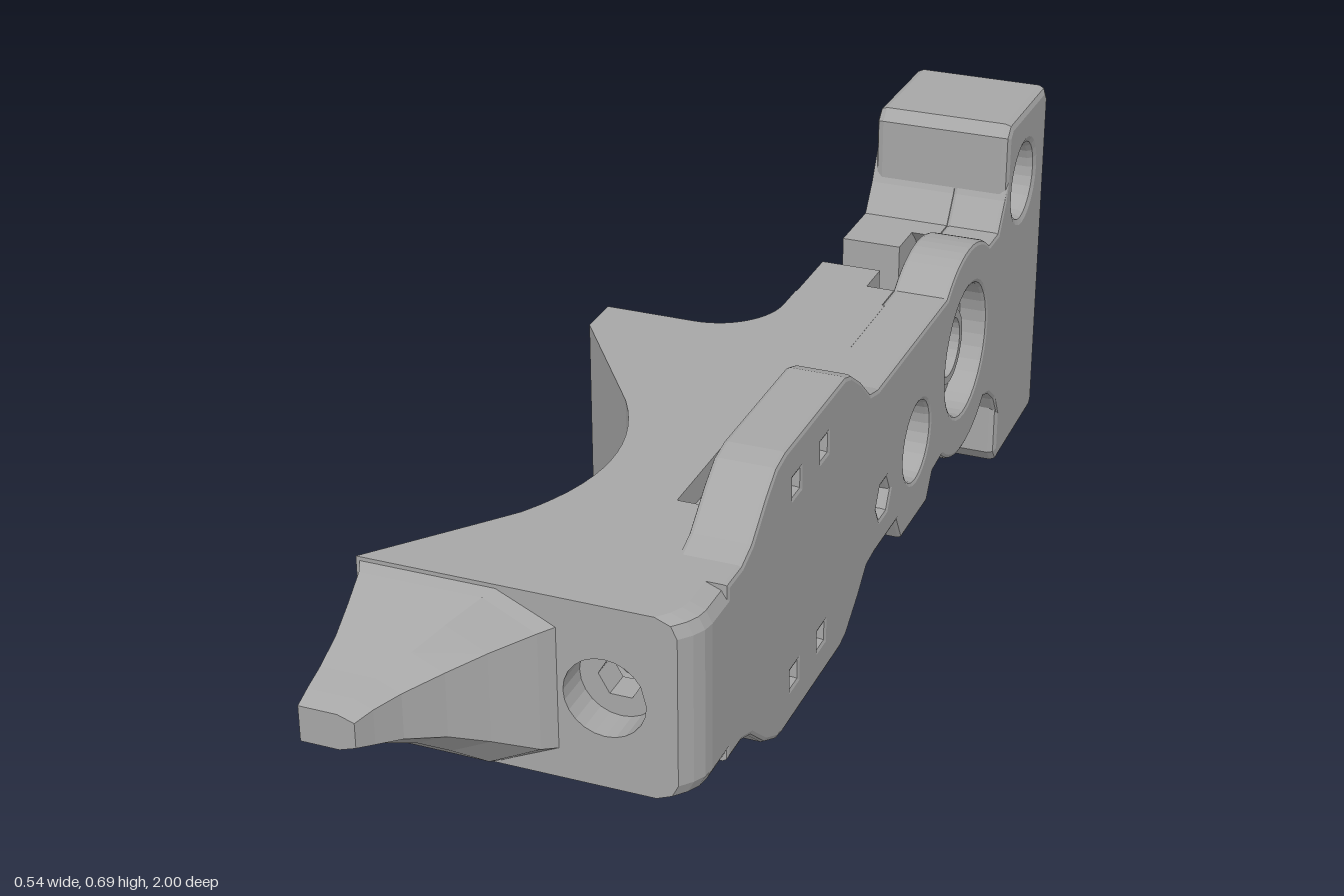
import * as THREE from 'three';

const grey = new THREE.MeshStandardMaterial({ color: 0xa6a6a6 });
grey.name = 'grey';

const arc = (cu, cv, r, a0, a1, n) => Array.from({ length: n + 1 }, (_, i) => {
  const a = a0 + (a1 - a0) * i / n;
  return [cu + r * Math.cos(a), cv + r * Math.sin(a)];
});
const circle = (u, v, r, n = 24) => arc(u, v, r, 0, Math.PI * 2 * (n - 1) / n, n - 1);
const rect = (u0, v0, u1, v1) => [[u0, v0], [u1, v0], [u1, v1], [u0, v1]];
const square = (u, v, s) => rect(u - s, v - s, u + s, v + s);
const vecs = pts => pts.map(p => new THREE.Vector2(p[0], p[1]));

// Extrudes an outline with holes from w0 to w1, chamfered by b
function slab(outline, holes, w0, w1, b = 0, steps = 1) {
  const shape = new THREE.Shape(vecs(outline));
  holes.forEach(h => shape.holes.push(new THREE.Path(vecs(h))));
  const g = new THREE.ExtrudeGeometry(shape, {
    depth: w1 - w0 - 2 * b, steps, bevelEnabled: b > 0, bevelSize: b,
    bevelThickness: b, bevelOffset: -b, bevelSegments: 2,
  });
  return g.translate(0, 0, w0 + b);
}
// Along x: outline is (-z, y). Along y: outline is (x, -z).
const alongX = (...a) => slab(...a).rotateY(Math.PI / 2);
const alongY = (...a) => slab(...a).rotateX(-Math.PI / 2);

// Moves every vertex by a rule
function bend(g, rule) {
  const p = g.attributes.position, v = new THREE.Vector3();
  for (let i = 0; i < p.count; i++) {
    v.fromBufferAttribute(p, i);
    rule(v);
    p.setXYZ(i, v.x, v.y, v.z);
  }
  g.computeVertexNormals();
  return g;
}

export function createModel() {
  const model = new THREE.Group();
  const add = (name, geometry) => {
    const m = new THREE.Mesh(geometry, grey);
    m.name = name;
    model.add(m);
  };
  const midY = 0.345, wheelU = 0.52;
  const slots = [[0.09, 0], [-0.09, 0], [0, -0.09], [0, 0.09]]
    .map(([u, v]) => square(wheelU + u, midY + v, 0.016));

  // Outer side plate with tabs, round boss and all openings
  const k = 0.887;
  const plate = [
    [-0.66, 0.195], [-0.6, 0.195], [-0.56, 0.18], [-0.5, 0.13], [-0.45, 0.105], [-0.42, 0.1],
    [-0.15, 0.1], [-0.12, 0.108], [-0.06, 0.15], [-0.02, 0.185], [0.02, 0.19], [0.14, 0.19],
    [0.17, 0.14], [0.31, 0.14], [0.34, 0.185],
    ...arc(wheelU, midY, 0.2, -Math.PI + k, -k, 12),
    [0.68, 0.18], [0.72, 0.15], [0.76, 0.09], [0.76, 0.6], [0.735, 0.55], [0.7, 0.5],
    ...arc(wheelU, midY, 0.2, k, Math.PI - k, 12),
    [0.02, 0.5], [-0.02, 0.51], [-0.07, 0.555], [-0.12, 0.59], [-0.15, 0.6], [-0.42, 0.6],
    [-0.46, 0.592], [-0.5, 0.565], [-0.56, 0.515], [-0.6, 0.5], [-0.66, 0.5],
  ];
  const pins = [];
  for (const u of [-0.37, -0.245]) for (const y of [0.522, 0.178]) pins.push(square(u, y, 0.015));
  add('sidePlate', alongX(plate, [
    circle(0.24, 0.295, 0.072), circle(wheelU, midY, 0.122, 32),
    circle(0.06, 0.275, 0.035, 6), ...pins,
  ], 0.168, 0.27, 0.008));

  // Recessed hub inside the boss
  add('hubDisc', alongX(circle(wheelU, midY, 0.127, 32), [circle(wheelU, midY, 0.055), ...slots], 0.168, 0.22));
  add('hubCollar', alongX(circle(wheelU, midY, 0.07), [circle(wheelU, midY, 0.055)], 0.2, 0.24));

  // Inner wall of the arm with its U-shaped notch
  const heel = [[0.68, 0.18], [0.72, 0.15], [0.76, 0.09], [0.76, 0.6], [0.735, 0.55], [0.7, 0.5]];
  add('innerWall', alongX([
    [0.32, 0.19], ...heel, [0.575, 0.5], ...arc(wheelU, midY, 0.055, 0, -Math.PI, 12),
    [0.465, 0.5], [0.32, 0.5],
  ], slots.slice(0, 3), 0.012, 0.12));

  // Spacers either side of the open wheel slot
  add('frontSpacer', alongX([[0.32, 0.19],
    ...arc(wheelU, midY, 0.2, Math.PI + k, Math.PI - k, 10), [0.32, 0.5]], [], 0.119, 0.17));
  add('rearSpacer', alongX([...heel,
    ...arc(wheelU, midY, 0.2, k, -k, 10)], [], 0.119, 0.17));

  // Filleted shoulder above and below the cross hole
  const hz = -0.24, hy = 0.295, hr = 0.073;
  for (const side of [-1, 1]) {
    const edge = side > 0 ? 0.5 : 0.19;
    add(side > 0 ? 'upperShoulder' : 'lowerShoulder', bend(new THREE.BoxGeometry(1, 1, 1, 1, 1, 24), v => {
      const z = hz - 0.09 * Math.cos((v.z + 0.5) * Math.PI);
      const d = Math.sqrt(Math.max(0, hr * hr - (z - hz) ** 2));
      const s = Math.max(0, z + 0.27);
      const left = -0.11 + Math.sqrt(Math.max(0, 0.0144 - s * s));
      v.set(v.x < 0 ? left : 0.175, v.y * side > 0 ? edge : hy + side * d, z);
    }));
  }

  // Boss beneath the cross hole
  add('lowerBoss', bend(alongX([[0.13, 0.205], [0.17, 0.138], [0.31, 0.138], [0.35, 0.205]], [], -0.02, 0.2), v => {
    if (v.x < 0) v.x = v.y < 0.17 ? 0.015 : -0.03;
  }));

  // Main body with concave side, in layers so both faces get a pocket
  const hollow = [];
  for (let i = 0; i <= 14; i++) {
    const t = i / 14;
    hollow.push([-0.1 + 0.24 * t * (1 - t), -0.17 - 0.4 * t]);
  }
  const body = [[0.18, 0.15], [-0.27, 0.15], [-0.27, 0.07], ...hollow, [-0.14, -0.62], [0.18, -0.62]];
  const pocket = [rect(0.105, -0.45, 0.17, -0.15)];
  add('bodyBottom', alongY(body, pocket, 0.19, 0.235));
  add('bodyCore', alongY(body, [], 0.235, 0.455));
  add('bodyTop', alongY(body, pocket, 0.455, 0.5));

  // Front block with a bore, flared on one side and rounded on the other
  const block = [[-0.14, 0.19], [0.235, 0.19], [0.26, 0.2], [0.27, 0.22], [0.27, 0.47], [0.26, 0.49], [0.235, 0.5], [-0.14, 0.5]];
  add('frontBlock', bend(slab(block, [circle(0.125, midY, 0.066)], 0.62, 0.78, 0, 8), v => {
    const t = (v.z - 0.62) / 0.16;
    if (v.x < -0.1) v.x -= 0.13 * t;
    const c = Math.max(0, (v.z - 0.72) / 0.06);
    if (v.x > 0.23) v.x -= 0.03 * c * c;
  }));
  add('boreSocket', slab(circle(0.125, midY, 0.067), [circle(0.125, midY, 0.036, 6)], 0.67, 0.72));

  // Tapering nose: z, right edge, half height
  const rows = [
    [0.775, 0.055, 0.15], [0.8, 0.03, 0.142], [0.84, -0.03, 0.108], [0.88, -0.08, 0.078],
    [0.93, -0.125, 0.055], [0.97, -0.15, 0.042], [1, -0.165, 0.03],
  ];
  const pos = [], idx = [], n = 6;
  rows.forEach(([z, r, h], i) => {
    const l = i ? -0.255 : -0.266, m = l + (r - l) * 0.7;
    for (const [x, y] of [[l, -h], [m, -h], [r, -h * 0.7], [r, h * 0.7], [m, h], [l, h]]) pos.push(x, midY + y, z);
    if (!i) return;
    for (let j = 0; j < n; j++) {
      const a = (i - 1) * n + j, b = (i - 1) * n + (j + 1) % n;
      idx.push(a, b, b + n, a, b + n, a + n);
    }
  });
  const tip = (rows.length - 1) * n;
  for (let j = 1; j < n - 1; j++) idx.push(tip, tip + j, tip + j + 1);
  let nose = new THREE.BufferGeometry();
  nose.setAttribute('position', new THREE.Float32BufferAttribute(pos, 3));
  nose.setIndex(idx);
  nose = nose.toNonIndexed();
  nose.computeVertexNormals();
  add('nose', nose);

  // Tall end block with a cross hole
  add('endBlock', alongX([
    [0.74, 0.025], [0.76, 0], [0.985, 0.008], [1, 0.025], [1, 0.665], [0.98, 0.688], [0.76, 0.69], [0.74, 0.67],
  ], [circle(0.853, 0.545, 0.07)], 0.015, 0.27, 0.014));

  return model;
}
